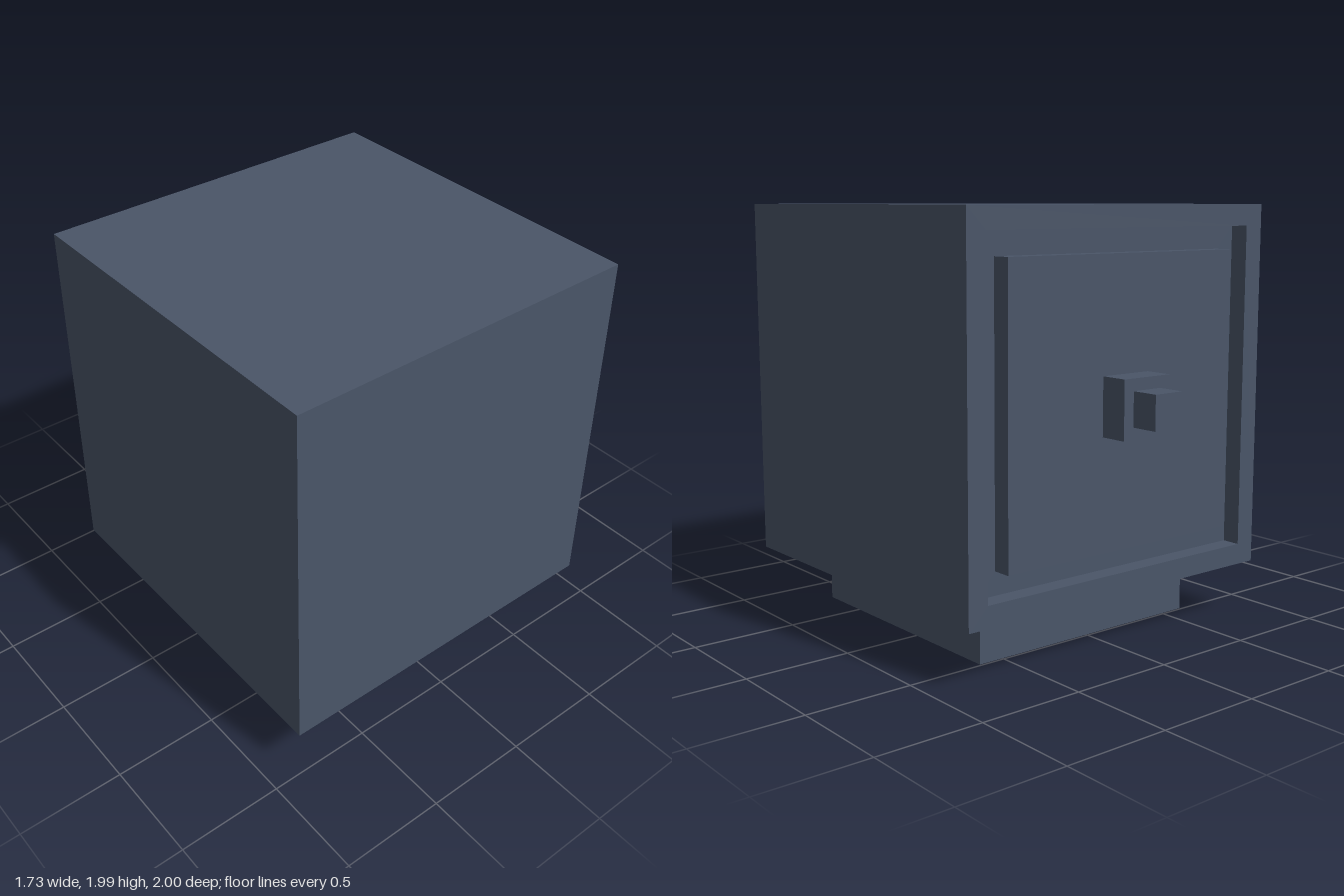
import * as THREE from 'three';

export function createModel() {
  const model = new THREE.Group();
  const slate = new THREE.MeshStandardMaterial({ color: 0x4a5568 });
  slate.name = 'slate';

  const add = (name, geometry, x, y, z) => {
    const mesh = new THREE.Mesh(geometry, slate);
    mesh.name = name;
    mesh.position.set(x, y, z);
    model.add(mesh);
  };
  // Box centred on x, given by its vertical centre and its z range
  const block = (name, w, h, y, z0, z1) =>
    add(name, new THREE.BoxGeometry(w, h, z1 - z0), 0, y, (z0 + z1) / 2);

  const half = 0.867, midY = 1.125;
  const back = -0.735, recess = 0.09;

  // Cabinet and the plinth under it
  block('body', half * 2, half * 2, midY, back + recess, 1);
  block('plinth', 1.25, 0.258, 0.129, -0.49, 0.76);

  // Raised rim around the recessed back
  const square = (Type, s) => new Type([
    new THREE.Vector2(-s, -s), new THREE.Vector2(s, -s),
    new THREE.Vector2(s, s), new THREE.Vector2(-s, s),
  ]);
  const rim = square(THREE.Shape, half);
  rim.holes.push(square(THREE.Path, 0.767));
  add('doorFrame', new THREE.ExtrudeGeometry(rim, { depth: recess, bevelEnabled: false }), 0, midY, back);

  // Door panel flush with the rim, with a stepped knob
  block('door', 1.32, 1.32, midY, back, back + recess);
  block('knobBase', 0.268, 0.268, midY, -0.868, back);
  block('knob', 0.158, 0.158, midY, -1, -0.868);

  return model;
}
